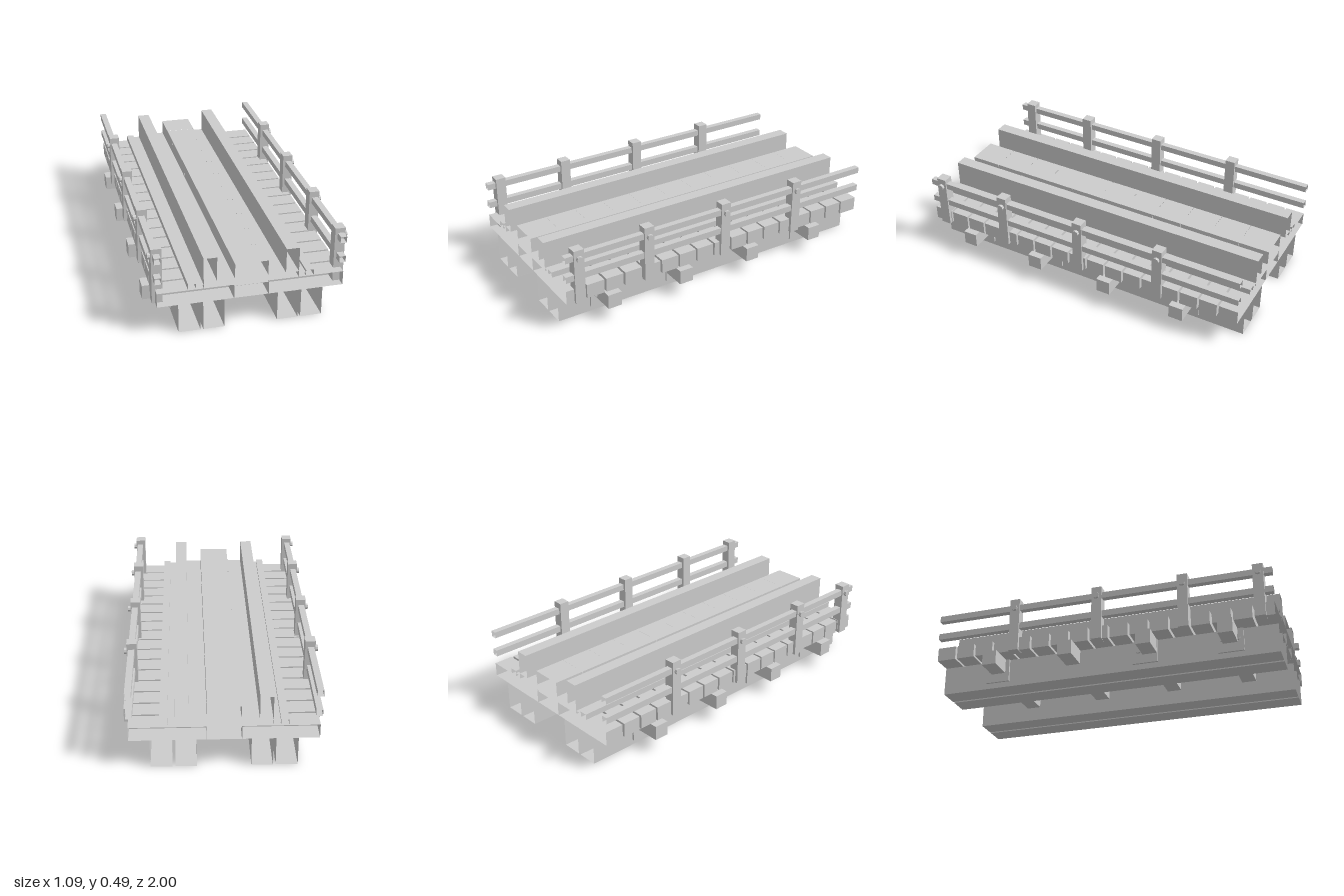
import * as THREE from 'three';

export function createModel() {
  const bridge = new THREE.Group();
  bridge.name = 'bridge';
  const grey = new THREE.MeshStandardMaterial({ color: 0xcccccc, side: THREE.DoubleSide });
  grey.name = 'plainGrey';

  const add = (name, geometry) => {
    const mesh = new THREE.Mesh(geometry, grey);
    mesh.name = name;
    bridge.add(mesh);
  };

  // Block given by its limits on each axis; the front or back face can be left open
  const block = (name, x0, x1, y0, y1, z0, z1, openFront = false, openBack = false) => {
    const g = new THREE.BoxGeometry(Math.abs(x1 - x0), y1 - y0, z1 - z0);
    g.translate((x0 + x1) / 2, (y0 + y1) / 2, (z0 + z1) / 2);
    const faces = Array.from(g.index.array);
    g.setIndex([
      ...faces.slice(0, 24),
      ...(openFront ? [] : faces.slice(24, 30)),
      ...(openBack ? [] : faces.slice(30)),
    ]);
    g.clearGroups();
    add(name, g);
  };

  // Lengthwise hollow section, open at both ends
  const hollow = (name, x0, x1, y0, y1, z0 = -1, z1 = 1) =>
    block(name, x0, x1, y0, y1, z0, z1, true, true);

  // Bolt head lying along x
  const bolt = (name, x, y, z, length) => {
    const g = new THREE.CylinderGeometry(0.018, 0.018, length, 8).toNonIndexed();
    g.rotateZ(Math.PI / 2);
    g.translate(x, y, z);
    g.computeVertexNormals();
    add(name, g);
  };

  // Cross beams under the deck
  for (const z of [0.73, 0.27, -0.19, -0.65]) {
    block('crossBeam', -0.545, 0.545, 0.084, 0.168, z - 0.042, z + 0.042);
  }

  // Deck planks: a short centre plank between two outer ones, open at the bridge ends
  const count = 17, pitch = 2 / count;
  for (let i = 0; i < count; i++) {
    const first = i === 0, last = i === count - 1;
    const z0 = -1 + i * pitch + (first ? 0 : 0.006);
    const z1 = -1 + (i + 1) * pitch - (last ? 0 : 0.006);
    block('centrePlank', -0.093, 0.093, 0.169, 0.242, z0, z1, last, first);
    for (const s of [-1, 1]) {
      block('deckPlank', s * 0.095, s * 0.505, 0.169, 0.25, z0, z1, last, first);
    }
  }

  // Raised centre strip in short lengths
  const lengths = 11, step = 2 / lengths;
  for (let i = 0; i < lengths; i++) {
    hollow('centreStrip', -0.09, 0.09, 0.284, 0.37, -1 + i * step, -1 + (i + 1) * step - 0.001);
  }
  hollow('trackBase', -0.257, 0.257, 0.251, 0.284);

  for (const s of [-1, 1]) {
    // Paired main girders
    hollow('innerGirder', s * 0.145, s * 0.26, 0, 0.168);
    hollow('outerGirder', s * 0.275, s * 0.393, 0, 0.168);

    // Running beam and the low kerb beside it
    hollow('runningBeam', s * 0.186, s * 0.257, 0.284, 0.425);
    hollow('kerbBase', s * 0.257, s * 0.297, 0.251, 0.27);
    hollow('kerb', s * 0.297, s * 0.34, 0.251, 0.284);

    // Handrails
    hollow('upperRail', s * 0.479, s * 0.514, 0.423, 0.459);
    hollow('lowerRail', s * 0.479, s * 0.514, 0.305, 0.342);

    // Posts with bolts
    [0.922, 0.495, -0.01, -0.515].forEach((z, i) => {
      block('post', s * 0.465, s * 0.522, 0.167, i ? 0.494 : 0.486, z - 0.03, z + 0.03);
      bolt('postBolt', s * 0.53, 0.436, z, 0.016);
    });

    // Hanging bracket plates with bolts
    for (const z of [0.733, 0.243, -0.657]) {
      block('bracketPlate', s * 0.394, s * 0.405, 0.032, 0.168, z - 0.073, z + 0.073);
    }
    for (const z of [0.77, 0.69, 0.205, -0.695]) bolt('bracketBolt', s * 0.411, 0.11, z, 0.014);
  }
  return bridge;
}
